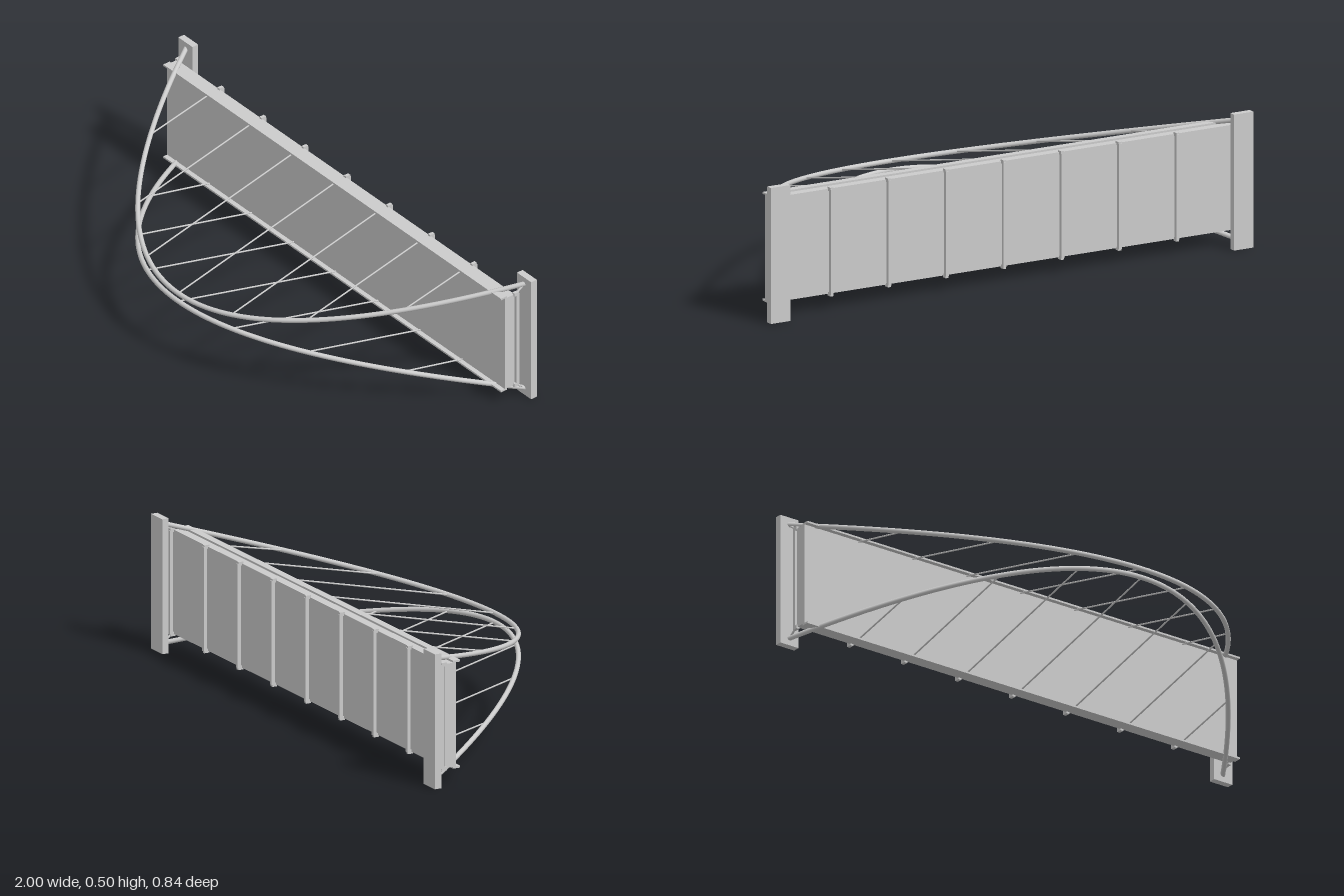
import * as THREE from 'three';

export function createModel() {
  const model = new THREE.Group();
  const material = new THREE.MeshStandardMaterial({ color: 0xcccccc });
  const MID = 0.25; // height of the horizontal mirror plane

  const add = (name, geometry, x = 0, y = 0, z = 0) => {
    const mesh = new THREE.Mesh(geometry, material);
    mesh.name = name;
    mesh.position.set(x, y, z);
    model.add(mesh);
    return mesh;
  };
  const box = (name, w, h, d, x, y, z) => add(name, new THREE.BoxGeometry(w, h, d), x, y, z);

  // Round bar between two points
  const bar = (name, a, b, radius) => {
    const dir = b.clone().sub(a);
    const mesh = add(name, new THREE.CylinderGeometry(radius, radius, dir.length(), 10));
    mesh.position.copy(a).add(b).multiplyScalar(0.5);
    mesh.quaternion.setFromUnitVectors(new THREE.Vector3(0, 1, 0), dir.normalize());
  };

  // Parabolic arch, s = 1 upper, s = -1 lower
  const archPoint = (x, s) => {
    const t = (x / 0.96) ** 2;
    return new THREE.Vector3(x, MID + s * (0.017 + 0.205 * t), 0.412 - 0.806 * t);
  };

  // Deck panel
  box('deckPanel', 1.914, 0.386, 0.045, 0, MID, -0.3285);

  // End plates
  for (const side of [-1, 1]) box('endPlate', 0.08, 0.5, 0.026, side * 0.96, MID, -0.404);

  // Ribs behind the panel, with a clamp at each end
  for (let i = -4; i <= 4; i++) {
    const x = i * 0.239;
    box('rib', 0.012, 0.386, 0.0135, x, MID, -0.362);
    for (const s of [-1, 1]) box('ribClamp', 0.012, 0.014, 0.02, x, MID + s * 0.193, -0.356);
  }

  for (const s of [-1, 1]) {
    // Flange along the front edge of the panel
    box('flange', 1.914, 0.007, 0.029, 0, MID + s * 0.1965, -0.3025);

    // Arch tube
    const points = [];
    for (let i = 0; i <= 32; i++) points.push(archPoint(-0.96 + i * 0.06, s));
    const curve = new THREE.CatmullRomCurve3(points);
    add('archTube', new THREE.TubeGeometry(curve, 96, 0.009, 12, false));
    for (const side of [-1, 1]) {
      add('archEnd', new THREE.SphereGeometry(0.009, 12, 8)).position.copy(archPoint(side * 0.96, s));
      // Short strut from the panel corner to the arch end
      bar('cornerStrut', new THREE.Vector3(side * 0.957, MID + s * 0.194, -0.357),
        new THREE.Vector3(side * 0.957, MID + s * 0.219, -0.394), 0.004);
    }

    // Tie rods from the flange to the arch
    for (let i = -3; i <= 3; i++) {
      const x = i * 0.239;
      bar('tieRod', new THREE.Vector3(x, MID + s * 0.19, -0.305), archPoint(x, s), 0.003);
    }
  }
  return model;
}
